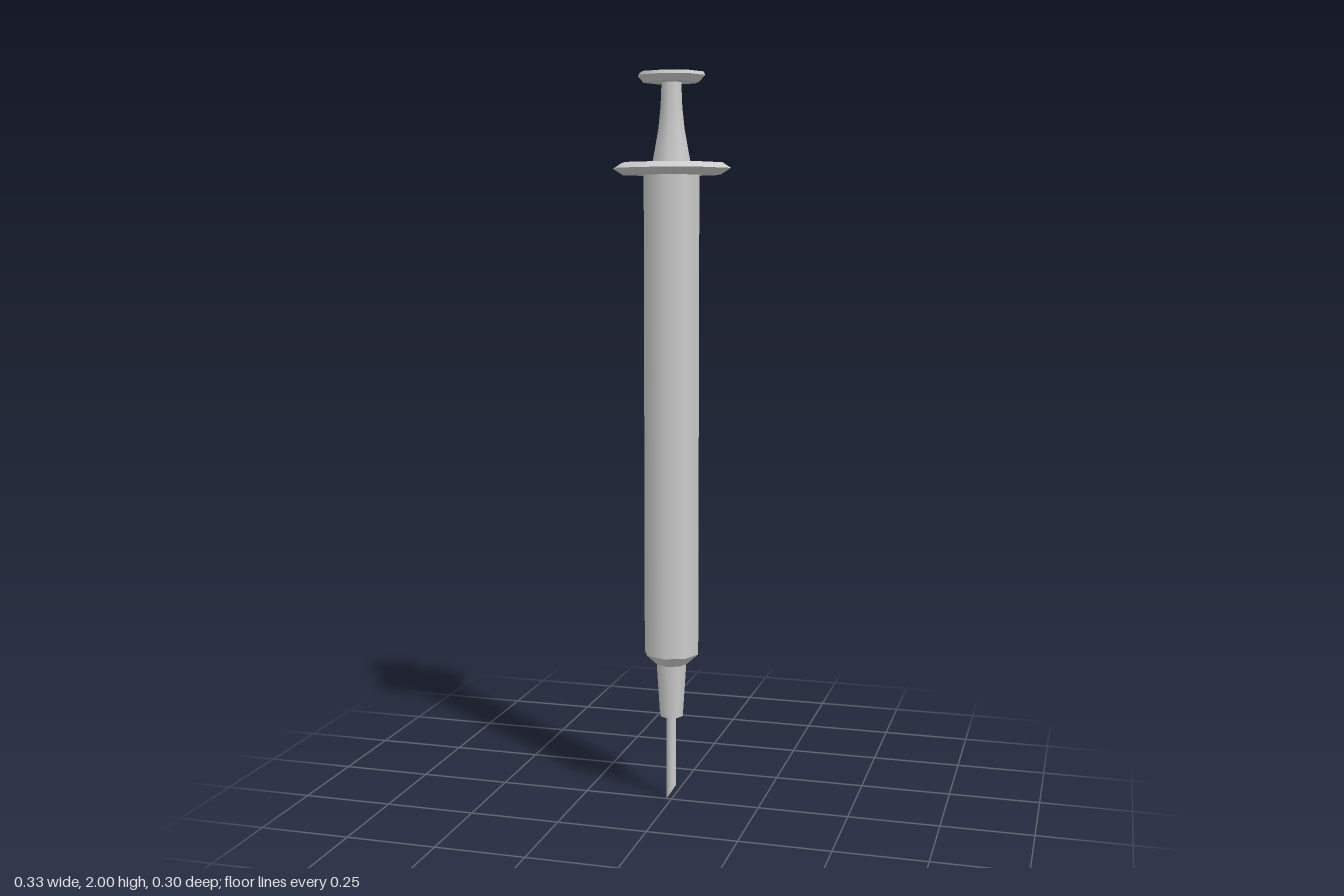
import * as THREE from 'three';

const SIDES = 8;
const DEPTH = 0.935; // cross-sections are slightly narrower in z

export function createModel() {
  const model = new THREE.Group();
  model.name = 'syringe';
  const grey = new THREE.MeshStandardMaterial({ color: 0xcccccc });
  grey.name = 'plain grey';

  // One smooth eight-sided surface from [radius, height] points, bottom to top
  function band(points) {
    const profile = points.map(([r, y]) => new THREE.Vector2(r, y));
    return new THREE.Mesh(new THREE.LatheGeometry(profile, SIDES), grey);
  }

  // A named part made of bands; the edges between bands stay sharp
  function part(name, bands, depth = DEPTH) {
    const group = new THREE.Group();
    group.name = name;
    bands.forEach((points, i) => {
      const mesh = band(points);
      mesh.name = `${name}Band${i + 1}`;
      group.add(mesh);
    });
    group.scale.z = depth;
    model.add(group);
  }

  part('thumbPad', [
    [[0, 1.974], [0.076, 1.974]],
    [[0.076, 1.974], [0.092, 1.991]],
    [[0.092, 1.991], [0.088, 2.0]],
    [[0.088, 2.0], [0, 2.0]],
  ]);

  part('plungerStem', [
    [[0.055, 1.755], [0.046, 1.8], [0.036, 1.855], [0.03, 1.91], [0.027, 1.978]],
  ]);

  part('fingerFlange', [
    [[0, 1.733], [0.135, 1.733]],
    [[0.135, 1.733], [0.163, 1.75]],
    [[0.163, 1.75], [0.14, 1.765]],
    [[0.14, 1.765], [0, 1.765]],
  ]);

  part('barrel', [
    [[0, 0.395], [0.044, 0.395]],
    [[0.044, 0.395], [0.077, 0.425]],
    [[0.077, 0.425], [0.077, 1.74]],
  ], 0.965);

  part('needleHub', [
    [[0, 0.245], [0.033, 0.245]],
    [[0.033, 0.245], [0.043, 0.398]],
  ], 0.965);

  // Needle, with its lower end cut on a slant
  const R = 0.014;
  const needle = new THREE.CylinderGeometry(R, R, 0.25, SIDES);
  needle.translate(0, 0.125, 0);
  const pos = needle.attributes.position;
  const normal = needle.attributes.normal;
  for (let i = 0; i < pos.count; i++) {
    if (pos.getY(i) > 0.1) continue;
    pos.setY(i, 0.022 * (1 + pos.getX(i) / R));
    if (normal.getY(i) < -0.5) normal.setXYZ(i, 0.843, -0.537, 0);
  }
  const needleMesh = new THREE.Mesh(needle, grey);
  needleMesh.name = 'needle';
  model.add(needleMesh);

  return model;
}
